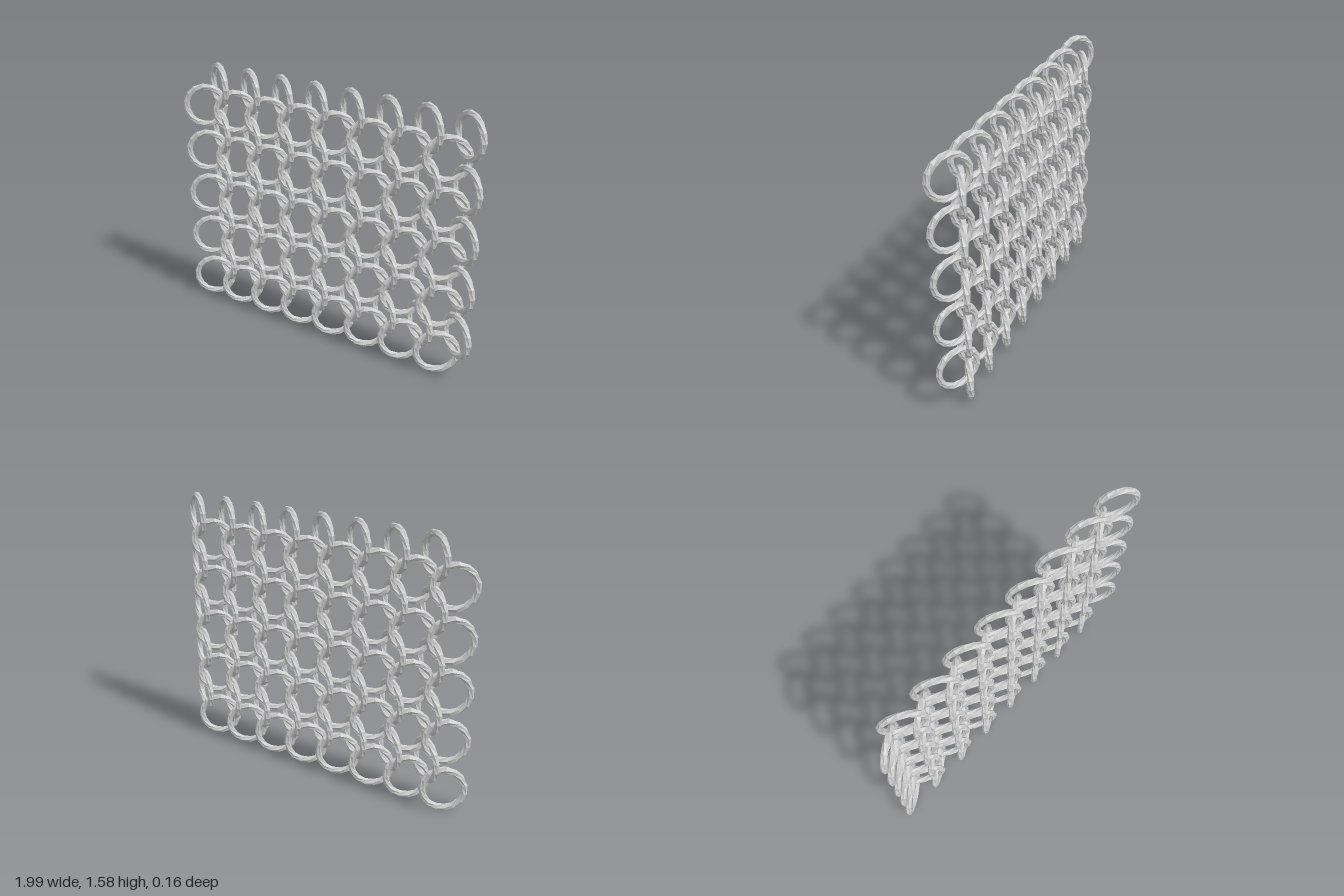
import * as THREE from 'three';

const COLS = 8, ROWS = 5;
const STEP_X = 0.2348, STEP_Y = 0.2907;
const RING = 0.118, WIRE = 0.019;
const SIDES = 6, SEGMENTS = 15;
const TILT = THREE.MathUtils.degToRad(31.5);

// Faceted wire ring whose section turns once along the loop
function twistedRing() {
  const geo = new THREE.TorusGeometry(RING, WIRE, SIDES, SEGMENTS);
  const pos = geo.attributes.position;
  for (let j = 0, k = 0; j <= SIDES; j++) {
    for (let i = 0; i <= SEGMENTS; i++, k++) {
      const around = (i / SEGMENTS) * Math.PI * 2;
      const section = (j / SIDES) * Math.PI * 2 + around;
      const r = RING + WIRE * Math.cos(section);
      pos.setXYZ(k, r * Math.cos(around), r * Math.sin(around), WIRE * Math.sin(section));
    }
  }
  geo.computeVertexNormals();
  return geo;
}

export function createModel() {
  const model = new THREE.Group();
  model.name = 'chainmailPatch';

  const steel = new THREE.MeshStandardMaterial({ color: 0xcccccc, flatShading: true });
  steel.name = 'light steel grey';
  const geo = twistedRing();

  // Two interlinked sets of rings, half a step apart and leaning opposite ways
  for (const side of [-1, 1]) {
    const set = new THREE.Group();
    set.name = side < 0 ? 'leftLeaningRings' : 'rightLeaningRings';
    for (let c = 0; c < COLS; c++) {
      for (let r = 0; r < ROWS; r++) {
        const ring = new THREE.Mesh(geo, steel);
        ring.name = 'ring';
        ring.position.set(
          (c - (COLS - 1) / 2 + side * 0.25) * STEP_X,
          RING + WIRE + (r + (side > 0 ? 0.5 : 0)) * STEP_Y,
          0
        );
        ring.rotation.y = -side * TILT;
        set.add(ring);
      }
    }
    model.add(set);
  }
  return model;
}
